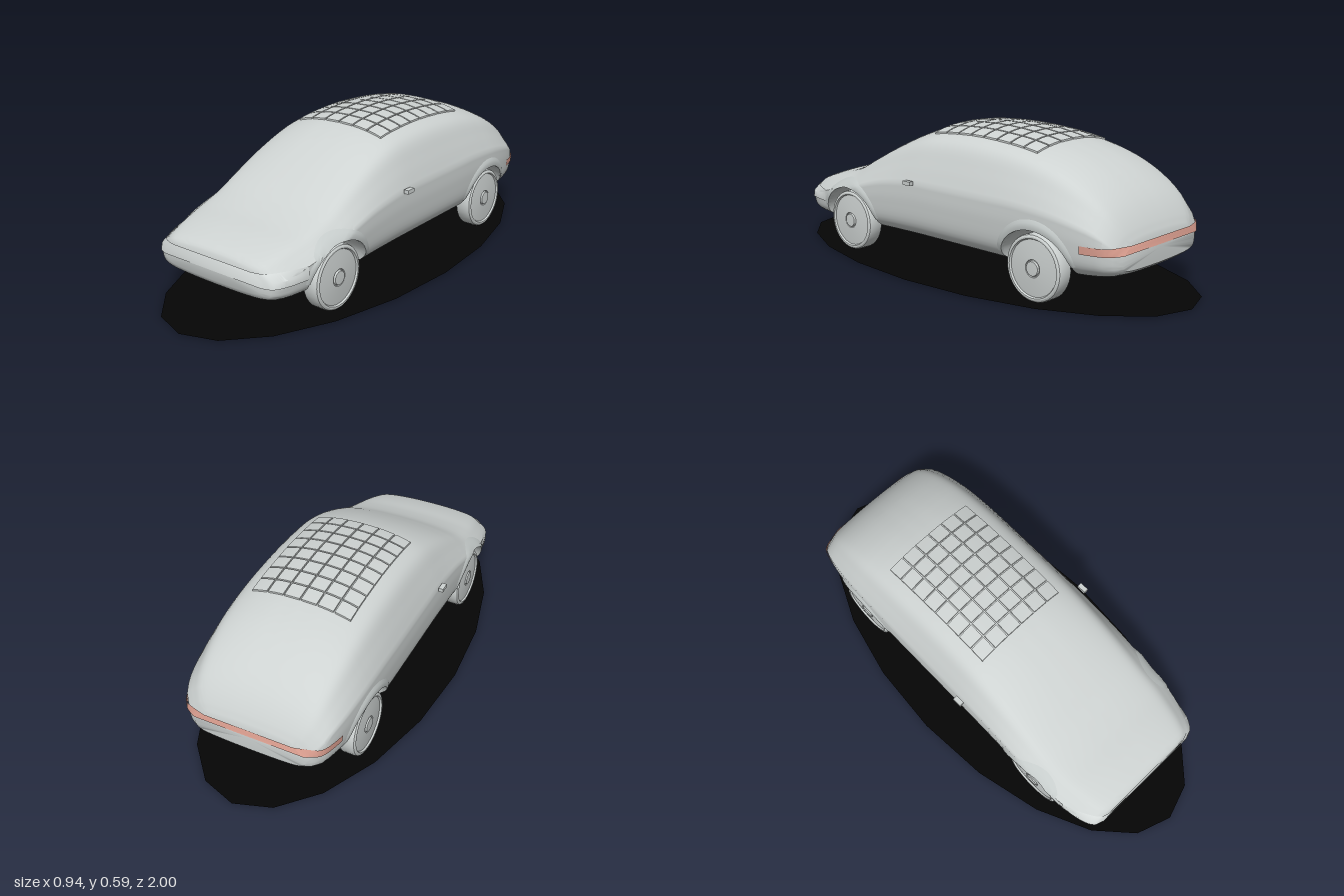
import * as THREE from 'three';
import { toCreasedNormals } from 'three/addons/utils/BufferGeometryUtils.js';

const paint = (name, hex, double) => {
  const m = new THREE.MeshStandardMaterial({ color: hex });
  m.name = name;
  if (double) m.side = THREE.DoubleSide;
  return m;
};

// Body stations: z, roof height, floor height, waist height, half width
const rows = [
  [0.822, 0.25, 0.145, 0.2, 0.24], [0.81, 0.265, 0.125, 0.205, 0.275], [0.77, 0.283, 0.112, 0.21, 0.3],
  [0.7, 0.305, 0.105, 0.225, 0.318], [0.6, 0.33, 0.1, 0.25, 0.333], [0.5, 0.368, 0.1, 0.27, 0.337],
  [0.4, 0.425, 0.1, 0.3, 0.338], [0.3, 0.48, 0.1, 0.325, 0.338], [0.2, 0.527, 0.1, 0.34, 0.338],
  [0.1, 0.561, 0.1, 0.35, 0.338], [0, 0.576, 0.1, 0.35, 0.338], [-0.15, 0.582, 0.1, 0.35, 0.338],
  [-0.3, 0.573, 0.1, 0.35, 0.338], [-0.4, 0.56, 0.1, 0.35, 0.337], [-0.5, 0.538, 0.1, 0.345, 0.335],
  [-0.6, 0.503, 0.1, 0.335, 0.33], [-0.7, 0.45, 0.105, 0.315, 0.318], [-0.78, 0.385, 0.115, 0.29, 0.3],
  [-0.83, 0.32, 0.13, 0.25, 0.275], [-0.857, 0.265, 0.15, 0.215, 0.23],
];

// Smooth interpolation of the station table
function station(z) {
  let i = 0;
  while (i < rows.length - 2 && z < rows[i + 1][0]) i++;
  const a = rows[i], b = rows[i + 1], p = rows[Math.max(i - 1, 0)], n = rows[Math.min(i + 2, rows.length - 1)];
  const h = b[0] - a[0], t = THREE.MathUtils.clamp((z - a[0]) / h, 0, 1);
  return [1, 2, 3, 4].map((k) => {
    const m0 = ((b[k] - p[k]) / (b[0] - p[0])) * h, m1 = ((n[k] - a[k]) / (n[0] - a[0])) * h;
    return (2 * t ** 3 - 3 * t * t + 1) * a[k] + (t ** 3 - 2 * t * t + t) * m0
      + (3 * t * t - 2 * t ** 3) * b[k] + (t ** 3 - t * t) * m1;
  });
}

// Unit half section: cabin above the waist, flank and floor below it
const curve = (pts, n) => new THREE.CatmullRomCurve3(pts.map(([x, y]) => new THREE.Vector3(x, y, 0))).getPoints(n);
const upper = curve([[0, 1], [0.3, 0.975], [0.6, 0.875], [0.77, 0.74], [0.9, 0.38], [1, 0]], 24);
const lower = curve([[1, 1], [1, 0.68], [0.95, 0.28], [0.83, 0.12], [0.5, 0.03], [0, 0]], 28);

function halfSection(z) {
  const [top, floor, waist, w] = station(z);
  return [
    ...upper.map((p) => [p.x * w, waist + p.y * (top - waist)]),
    ...lower.slice(1).map((p) => [p.x * w, floor + p.y * (waist - floor)]),
  ];
}

// Half width of the body at a height, and roof height at an x
function widthAt(z, y) {
  const s = halfSection(z);
  for (let i = 0; i < s.length - 1; i++) {
    const [a, b] = [s[i], s[i + 1]];
    if (a[1] >= y && b[1] < y) return a[0] + ((b[0] - a[0]) * (a[1] - y)) / (a[1] - b[1]);
  }
  return 0;
}
function roofAt(x, z) {
  const s = halfSection(z), ax = Math.abs(x);
  for (let i = 0; i < s.length - 1; i++) {
    const [a, b] = [s[i], s[i + 1]];
    if (a[0] <= ax && b[0] > ax) return a[1] + ((b[1] - a[1]) * (ax - a[0])) / (b[0] - a[0]);
  }
  return s[0][1];
}

// Grid surface from rows of [x, y, z] points
function gridGeometry(grid, caps) {
  const pos = grid.flat(2), idx = [], n = grid[0].length;
  for (let i = 0; i < grid.length - 1; i++)
    for (let j = 0; j < n - 1; j++) {
      const a = i * n + j, c = a + n;
      idx.push(a, a + 1, c, a + 1, c + 1, c);
    }
  if (caps) caps.forEach((c, k) => {
    const centre = pos.length / 3, base = k ? (grid.length - 1) * n : 0;
    pos.push(...c);
    for (let j = 0; j < n - 1; j++)
      idx.push(centre, ...(k ? [base + j, base + j + 1] : [base + j + 1, base + j]));
  });
  const g = new THREE.BufferGeometry();
  g.setAttribute('position', new THREE.Float32BufferAttribute(pos, 3));
  g.setIndex(idx);
  return g;
}

const axles = [0.5, -0.53], archR = 0.163, archH = 0.145, axleY = 0.128;
function archAt(z) {
  for (const c of axles) {
    const d = Math.abs(z - c) / archR;
    if (d < 1) return axleY + archH * Math.sqrt(1 - d * d);
  }
  return 0;
}

// Body shell with wheel openings
function bodyGeometry() {
  const zs = [0.822, 0.817, 0.81, 0.795];
  for (let i = 0; i <= 56; i++) zs.push(0.78 - i * 0.0289);
  zs.push(-0.845, -0.852, -0.857);
  for (const c of axles) {
    for (let k = 1; k < 24; k++) zs.push(c + archR * Math.cos((k * Math.PI) / 24));
    for (const s of [-1, 1]) zs.push(c + s * archR * 1.0001, c + s * archR * 0.9999);
  }
  zs.sort((a, b) => b - a);
  const grid = zs.map((z) => {
    const half = halfSection(z).map(([x, y]) => [x, Math.max(y, archAt(z)), z]);
    return [...half, ...half.slice(0, -1).reverse().map(([x, y]) => [-x, y, z])];
  });
  return toCreasedNormals(gridGeometry(grid, [[0, 0.2, 0.826], [0, 0.21, -0.861]]), 0.75);
}

// Light band wrapped around one end of the body
function bandGeometry(z0, z1, y0, y1) {
  const s = Math.sign(z1), side = [], N = 20;
  for (let i = 0; i <= N; i++) {
    const z = z0 + (z1 - z0) * Math.sin((i / N) * Math.PI / 2);
    side.push([y1, (y0 + y1) / 2, y0].map((y) => [widthAt(z, y) * 1.006 + 0.002, y, z + s * 0.005 * (i / N)]));
  }
  const other = side.map((r) => r.map(([x, y, z]) => [-x, y, z])).reverse();
  const g = gridGeometry([...side, ...other]);
  return toCreasedNormals(g, 0.75);
}

// Raised lip over a wheel opening
function flareGeometry(cz, s) {
  const grid = [];
  for (let i = 0; i <= 24; i++) {
    const a = THREE.MathUtils.degToRad(12 + (156 * i) / 24), swell = 0.009 * Math.sin(a);
    grid.push([[0.183, 0.184, 0], [0.176, 0.172, 0.7], [0.169, 0.158, 1], [archR, archH, 0.8], [archR, archH, -4]]
      .map(([rz, ry, k]) => {
        const z = cz + rz * Math.cos(a), y = axleY + ry * Math.sin(a);
        return [s * (widthAt(z, y) + k * swell), y, z];
      }));
  }
  return toCreasedNormals(gridGeometry(grid), 0.9);
}

// Wheel turned around its axle; outer face towards +x
function wheelGeometry() {
  const pts = [[0, -0.035], [0.118, -0.035], [0.125, -0.031], [0.128, -0.024], [0.128, 0.024], [0.125, 0.031],
    [0.118, 0.035], [0.112, 0.035], [0.108, 0.028], [0.07, 0.032], [0.034, 0.034], [0.032, 0.03],
    [0.029, 0.03], [0.027, 0.038], [0, 0.039]];
  const g = new THREE.LatheGeometry(pts.map(([x, y]) => new THREE.Vector2(x, y)), 40);
  return toCreasedNormals(g.rotateZ(-Math.PI / 2), 0.5);
}

export function createModel() {
  const car = new THREE.Group();
  car.name = 'car';
  const silver = paint('silver', 0xced3d2);
  const silverTrim = paint('silverTrim', 0xc6cccb, true);
  const pale = paint('paleLight', 0xd6dbda, true);
  const red = paint('tailLightRed', 0xdc9f90, true);
  const black = paint('groundBlack', 0x050505, true);
  const add = (name, geo, mat, parent = car) => {
    const m = new THREE.Mesh(geo, mat);
    m.name = name;
    parent.add(m);
    return m;
  };

  add('body', bodyGeometry(), silver);
  add('tailLight', bandGeometry(-0.73, -0.857, 0.22, 0.25), red);
  add('frontLight', bandGeometry(0.67, 0.822, 0.185, 0.235), pale);

  // Roof panels bent to the roof
  const panels = new THREE.Group();
  panels.name = 'roofPanels';
  car.add(panels);
  for (let r = 0; r < 8; r++)
    for (let c = 0; c < 6; c++) {
      const g = new THREE.BoxGeometry(0.064, 0.014, 0.062, 2, 1, 2);
      g.translate((c - 2.5) * 0.07, 0, 0.06 - r * 0.068);
      const p = g.attributes.position;
      for (let i = 0; i < p.count; i++) p.setY(i, p.getY(i) + roofAt(p.getX(i), p.getZ(i)));
      g.computeVertexNormals();
      add('roofPanel', g, silver, panels);
    }

  // Wheels, arch lips and side mirrors
  for (const s of [1, -1]) {
    axles.forEach((z, i) => {
      const wheel = add(i ? 'rearWheel' : 'frontWheel', wheelGeometry(), silver);
      wheel.position.set(s * 0.291, axleY, z);
      if (s < 0) wheel.rotation.y = Math.PI;
      add(i ? 'rearArchLip' : 'frontArchLip', flareGeometry(z, s), silverTrim);
    });
    add('mirror', new THREE.BoxGeometry(0.02, 0.016, 0.04), silver).position.set(s * 0.353, 0.355, 0.1);
  }

  // Flat oval base under the car
  const base = add('groundOval', new THREE.CircleGeometry(1, 20).rotateX(-Math.PI / 2), black);
  base.scale.set(0.47, 1, 1);
  base.position.y = 0.004;
  return car;
}
